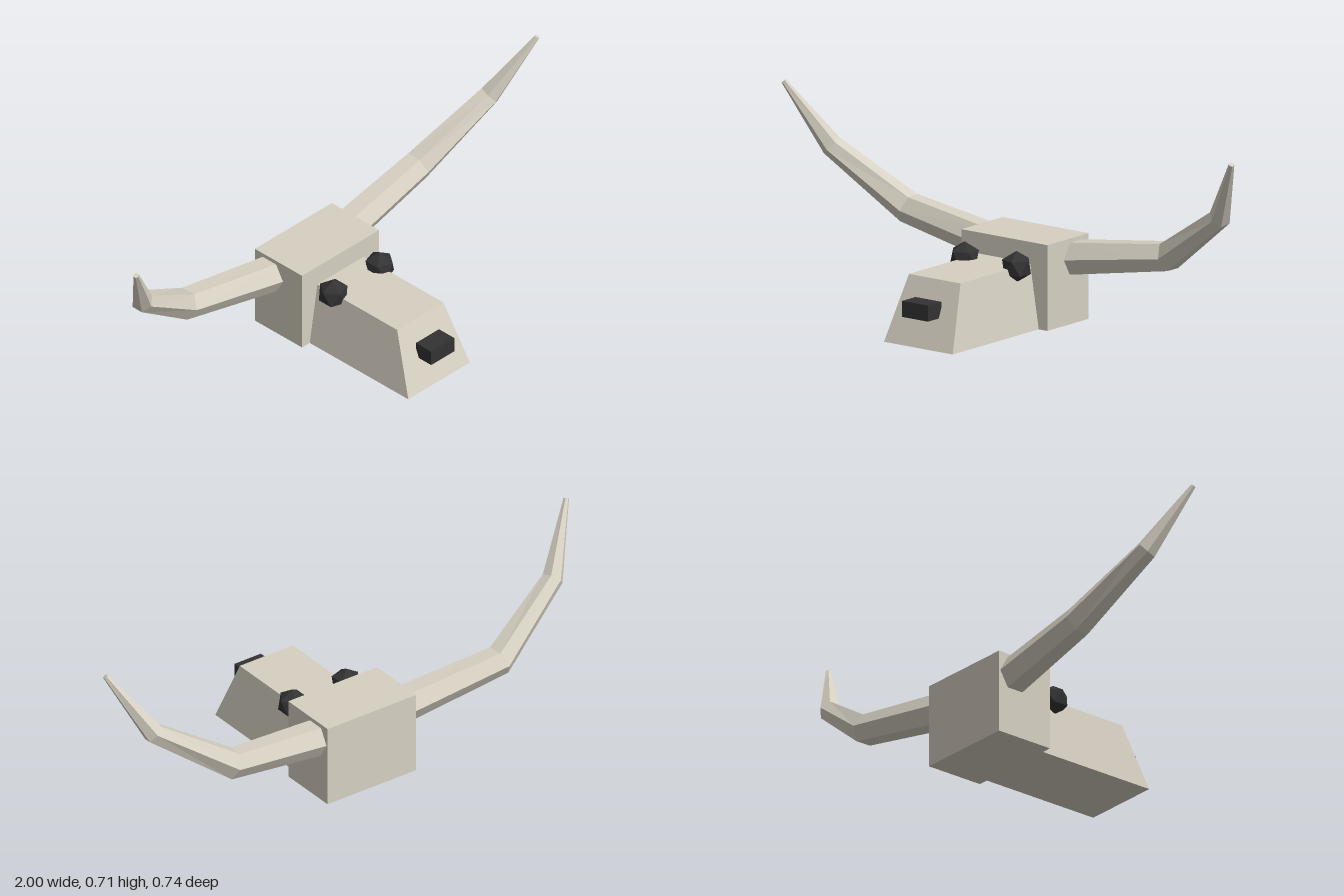
import * as THREE from 'three';

const SIDES = 6;

// Hexagonal horn swept through [x, y, z, radius] stations; side = 1 (left) or -1 (right)
function hornGeometry(side) {
  const stations = [
    [0.15, 0.228, -0.278, 0.066],
    [0.575, 0.288, -0.315, 0.056],
    [0.858, 0.48, -0.243, 0.039],
    [0.99, 0.708, -0.143, 0.01],
  ];
  const centres = stations.map(([x, y, z]) => new THREE.Vector3(x, y, z));
  const last = centres.length - 1;
  const step = (i) => centres[i + 1].clone().sub(centres[i]).normalize();

  const rings = centres.map((c, i) => {
    // each joint is mitred between its two neighbouring segments
    const t = step(Math.max(i - 1, 0)).add(step(Math.min(i, last - 1))).normalize();
    const up = new THREE.Vector3(-t.y, t.x, 0).normalize();
    const across = t.clone().cross(up);
    return Array.from({ length: SIDES }, (_, j) => {
      const a = ((j + 0.5) / SIDES) * Math.PI * 2;
      const p = c.clone()
        .addScaledVector(up, Math.cos(a) * stations[i][3])
        .addScaledVector(across, Math.sin(a) * stations[i][3]);
      p.x *= side;
      return p;
    });
  });

  const points = [];
  const tri = (a, b, c) => points.push(...(side > 0 ? [a, b, c] : [a, c, b]));
  for (let i = 0; i < last; i++) {
    for (let j = 0; j < SIDES; j++) {
      const k = (j + 1) % SIDES;
      tri(rings[i][j], rings[i][k], rings[i + 1][k]);
      tri(rings[i][j], rings[i + 1][k], rings[i + 1][j]);
    }
  }
  for (let j = 1; j < SIDES - 1; j++) {
    tri(rings[last][0], rings[last][j], rings[last][j + 1]); // tip cap
    tri(rings[0][0], rings[0][j + 1], rings[0][j]); // root cap
  }
  const geometry = new THREE.BufferGeometry().setFromPoints(points);
  geometry.computeVertexNormals();
  return geometry;
}

// Snout: a box narrowed towards the top, with a sloping front
function snoutGeometry() {
  const geometry = new THREE.BoxGeometry(1, 1, 1).toNonIndexed();
  const p = geometry.attributes.position;
  for (let i = 0; i < p.count; i++) {
    const top = p.getY(i) > 0;
    const front = p.getZ(i) > 0;
    p.setXYZ(
      i,
      Math.sign(p.getX(i)) * (top ? 0.114 : 0.152),
      top ? 0.23 : 0,
      front ? (top ? 0.262 : 0.353) : -0.13
    );
  }
  geometry.computeVertexNormals();
  return geometry;
}

export function createModel() {
  const bone = new THREE.MeshStandardMaterial({ color: 0xd6d0c2 });
  bone.name = 'bone';
  const charcoal = new THREE.MeshStandardMaterial({ color: 0x333333 });
  charcoal.name = 'charcoal';

  const model = new THREE.Group();
  model.name = 'hornedHead';
  const add = (name, geometry, material, x = 0, y = 0, z = 0) => {
    const mesh = new THREE.Mesh(geometry, material);
    mesh.name = name;
    mesh.position.set(x, y, z);
    model.add(mesh);
  };

  add('skull', new THREE.BoxGeometry(0.38, 0.305, 0.229), bone, 0, 0.1525, -0.2385);
  add('snout', snoutGeometry(), bone);
  add('nose', new THREE.BoxGeometry(0.114, 0.057, 0.074), charcoal, 0, 0.1345, 0.334);

  // Paired parts
  for (const side of [1, -1]) {
    const label = side > 0 ? 'left' : 'right';
    add(label + 'Horn', hornGeometry(side), bone);
    const eye = new THREE.IcosahedronGeometry(0.056, 0);
    eye.rotateZ(-side * Math.atan(2 / (1 + Math.sqrt(5)))); // one corner straight up
    add(label + 'Eye', eye, charcoal, side * 0.115, 0.232, -0.047);
  }
  return model;
}
